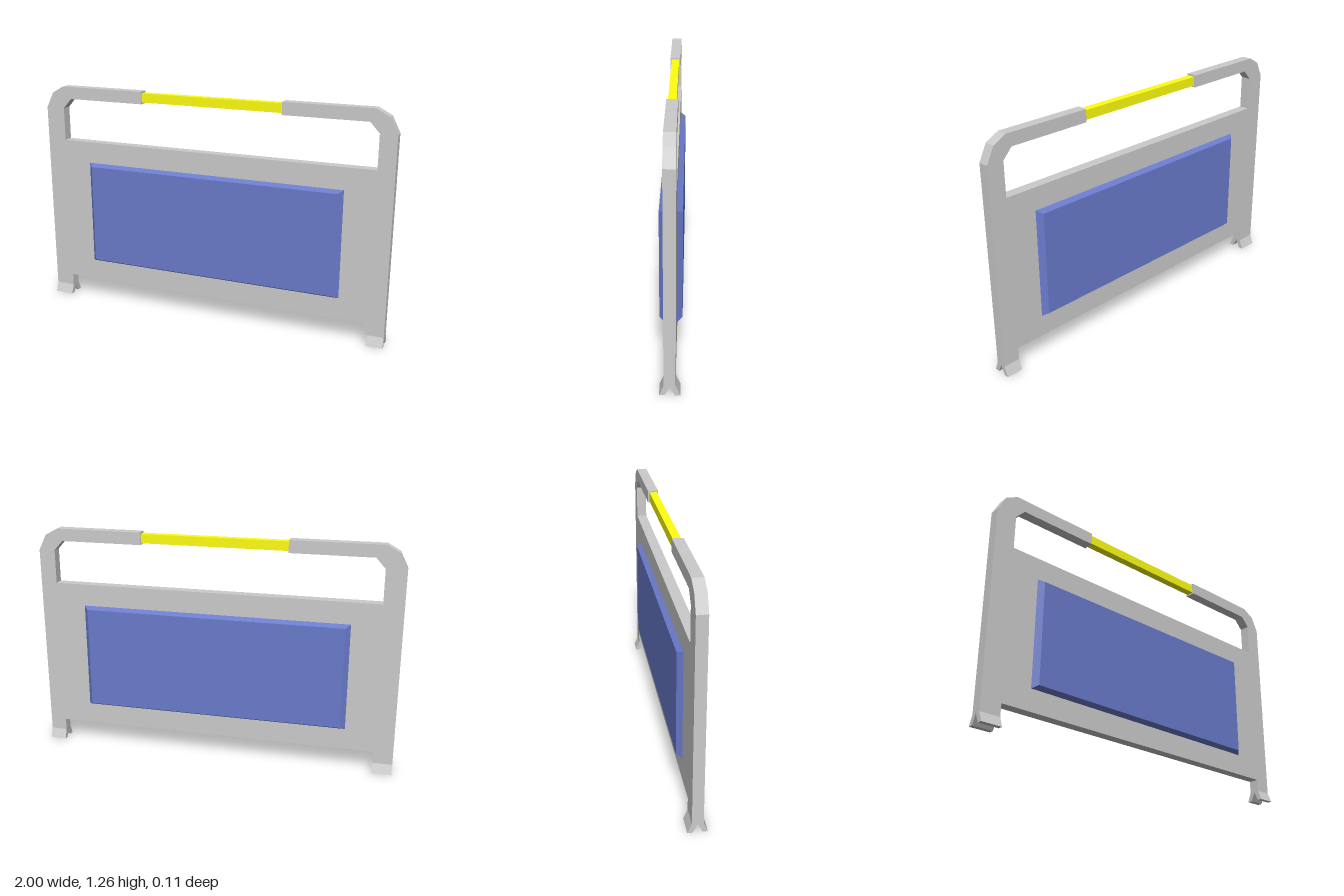
import * as THREE from 'three';

const DEPTH = 0.057;

const material = (color) => new THREE.MeshStandardMaterial({ color, flatShading: true });

function addMesh(group, name, geometry, mat) {
  const mesh = new THREE.Mesh(geometry, mat);
  mesh.name = name;
  group.add(mesh);
  return mesh;
}

// Flat outline extruded and centred on its own depth
function slab(points, depth) {
  const shape = new THREE.Shape(points.map(([x, y]) => new THREE.Vector2(x, y)));
  const geometry = new THREE.ExtrudeGeometry(shape, { depth, bevelEnabled: false });
  return geometry.translate(0, 0, -depth / 2);
}

export function createModel() {
  const group = new THREE.Group();
  const grey = material(0xcccccc);
  const blue = material(0x6a7bcc);
  const yellow = material(0xffff10);

  // Frame: legs, solid middle and the two bent arms of the top rail
  const frame = [
    [-1, 0.053], [-0.89, 0.053], [-0.89, 0.12], [0.91, 0.12], [0.91, 0.053], [1, 0.053],
    [1, 1.14], [0.957, 1.225], [0.887, 1.263], [0.407, 1.263], [0.407, 1.195], [0.86, 1.195],
    [0.91, 1.14], [0.91, 0.955], [-0.89, 0.955], [-0.89, 1.14], [-0.84, 1.195],
    [-0.395, 1.195], [-0.395, 1.263], [-0.89, 1.263], [-0.957, 1.225], [-1, 1.14],
  ];
  addMesh(group, 'frame', slab(frame, DEPTH), grey);

  // Grip bar between the arms
  const grip = addMesh(group, 'grip', new THREE.BoxGeometry(0.83, 0.05, 0.042), yellow);
  grip.position.set(0.006, 1.229, 0);

  // Forked feet, splayed to front and back
  const fork = [
    [-0.0285, 0.053], [-0.05, 0], [-0.024, 0], [0, 0.049],
    [0.024, 0], [0.05, 0], [0.0285, 0.053],
  ];
  for (const [name, x0, x1] of [['rightFoot', -1, -0.89], ['leftFoot', 0.91, 1]]) {
    const foot = addMesh(group, name, slab(fork, x1 - x0), grey);
    foot.rotation.y = Math.PI / 2;
    foot.position.x = (x0 + x1) / 2;
  }

  // Raised panels with chamfered edges, front and back
  const height = 0.028;
  for (const [name, side] of [['frontPanel', 1], ['backPanel', -1]]) {
    const geometry = new THREE.BoxGeometry(1.482, 0.596, height);
    const p = geometry.attributes.position;
    for (let i = 0; i < p.count; i++) {
      if (p.getZ(i) * side > 0) {
        p.setX(i, p.getX(i) - Math.sign(p.getX(i)) * 0.026);
        p.setY(i, p.getY(i) - Math.sign(p.getY(i)) * 0.016);
      }
    }
    geometry.computeVertexNormals();
    const panel = addMesh(group, name, geometry, blue);
    panel.position.set(0.007, 0.536, side * (DEPTH + height) / 2);
  }
  return group;
}
